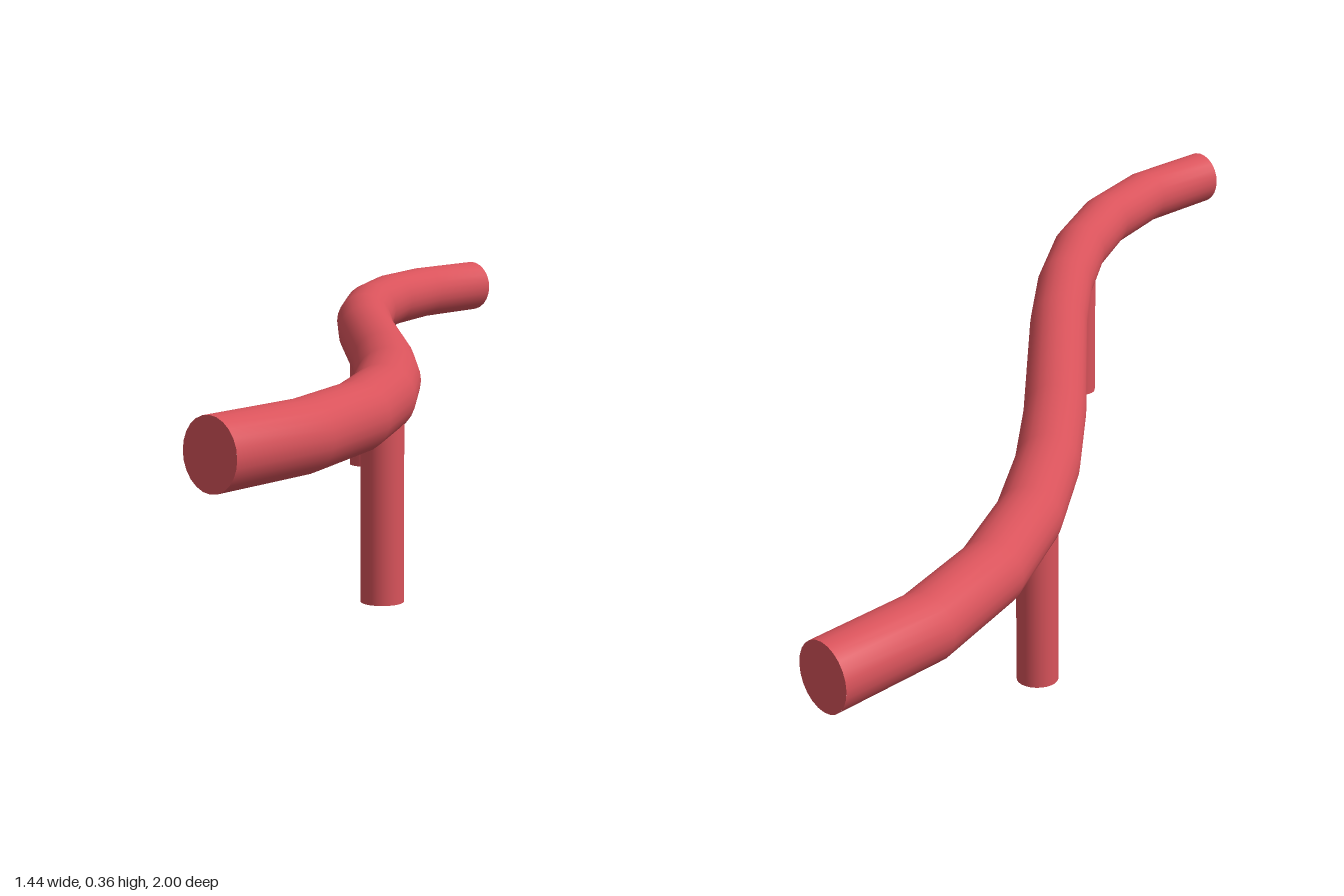
import * as THREE from 'three';

const RADIUS = 0.0525;
const SIDES = 24;

export function createModel() {
  const group = new THREE.Group();
  const material = new THREE.MeshStandardMaterial({ color: 0xd9535b });
  const add = (name, geometry, x = 0, y = 0, z = 0) => {
    const mesh = new THREE.Mesh(geometry, material);
    mesh.name = name;
    mesh.position.set(x, y, z);
    group.add(mesh);
    return mesh;
  };

  // S-shaped rail, stepped evenly along the curve parameter
  const path = new THREE.CubicBezierCurve3(
    new THREE.Vector3(-0.67, 0.303, -1),
    new THREE.Vector3(-0.67, 0.305, -0.197),
    new THREE.Vector3(0.667, 0.307, 0.197),
    new THREE.Vector3(0.667, 0.307, 1)
  );
  path.getPointAt = (t, target) => path.getPoint(t, target);
  path.getTangentAt = (t, target) => path.getTangent(t, target);
  add('rail', new THREE.TubeGeometry(path, 12, RADIUS, SIDES));

  // Flat caps closing the rail ends
  const cap = new THREE.CircleGeometry(RADIUS, SIDES);
  add('frontCap', cap, path.v3.x, path.v3.y, path.v3.z);
  add('backCap', cap, path.v0.x, path.v0.y, path.v0.z).rotation.y = Math.PI;

  // Support posts, sunk into the underside of the rail
  const postHeight = 0.29;
  const post = new THREE.CylinderGeometry(0.033, 0.033, postHeight, SIDES);
  add('frontPost', post, 0.478, postHeight / 2, 0.48);
  add('backPost', post, -0.422, postHeight / 2, -0.41);

  return group;
}
